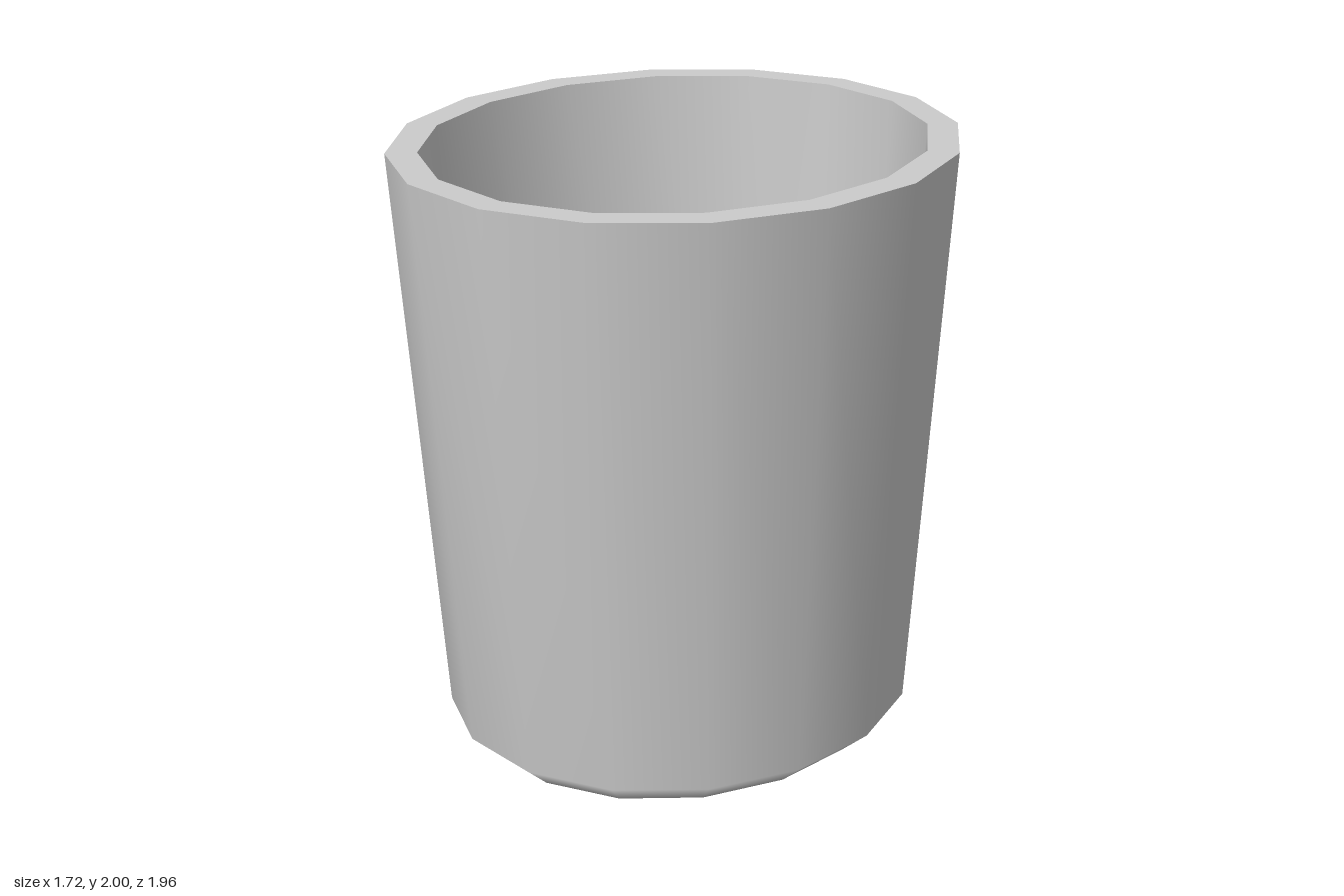
import * as THREE from 'three';

const SIDES = 16;
const TILT = 0.0128; // rim and base rise slightly towards the front

// Cross-sections: radius in x, radius in z, height, centre in z
const rimOuter = [0.86, 0.98, 1.985, 0];
const rimInner = [0.76, 0.88, 1.985, 0];
const chamferTop = [0.74, 0.84, 0.09, -0.02];
const baseEdge = [0.65, 0.75, 0.01, -0.02];
const baseCentre = [0, 0, 0.01, -0.02];
const floorEdge = [0.655, 0.757, 0.25, -0.025];
const floorCentre = [0, 0, 0.25, -0.025];

// Joins oval rings into one smooth surface; sharp edges lie between surfaces
function loft(name, rings, material) {
  const positions = [];
  const index = [];
  for (const [rx, rz, y, cz] of rings) {
    const count = rx === 0 ? 1 : SIDES;
    for (let i = 0; i < count; i++) {
      const t = (i / SIDES) * Math.PI * 2;
      const z = cz + rz * Math.cos(t);
      positions.push(rx * Math.sin(t), y + TILT * z, z);
    }
  }
  let a = 0;
  for (let r = 0; r < rings.length - 1; r++) {
    const nA = rings[r][0] === 0 ? 1 : SIDES;
    const nB = rings[r + 1][0] === 0 ? 1 : SIDES;
    const b = a + nA;
    for (let i = 0; i < SIDES; i++) {
      const j = i + 1;
      if (nB > 1) index.push(a + (i % nA), b + i, b + (j % nB));
      if (nA > 1) index.push(a + i, b + (j % nB), a + (j % nA));
    }
    a = b;
  }
  const geometry = new THREE.BufferGeometry();
  geometry.setAttribute('position', new THREE.Float32BufferAttribute(positions, 3));
  geometry.setIndex(index);
  geometry.computeVertexNormals();
  const mesh = new THREE.Mesh(geometry, material);
  mesh.name = name;
  return mesh;
}

export function createModel() {
  const group = new THREE.Group();
  group.name = 'cup';
  const grey = new THREE.MeshStandardMaterial({ color: 0xcccccc });
  group.add(
    // Tapered wall, bevel and underside share smooth normals
    loft('outerWall', [rimOuter, chamferTop, baseEdge, baseCentre], grey),
    loft('rim', [rimInner, rimOuter], grey),
    loft('innerWall', [floorEdge, rimInner], grey),
    loft('floor', [floorCentre, floorEdge], grey),
  );
  return group;
}
